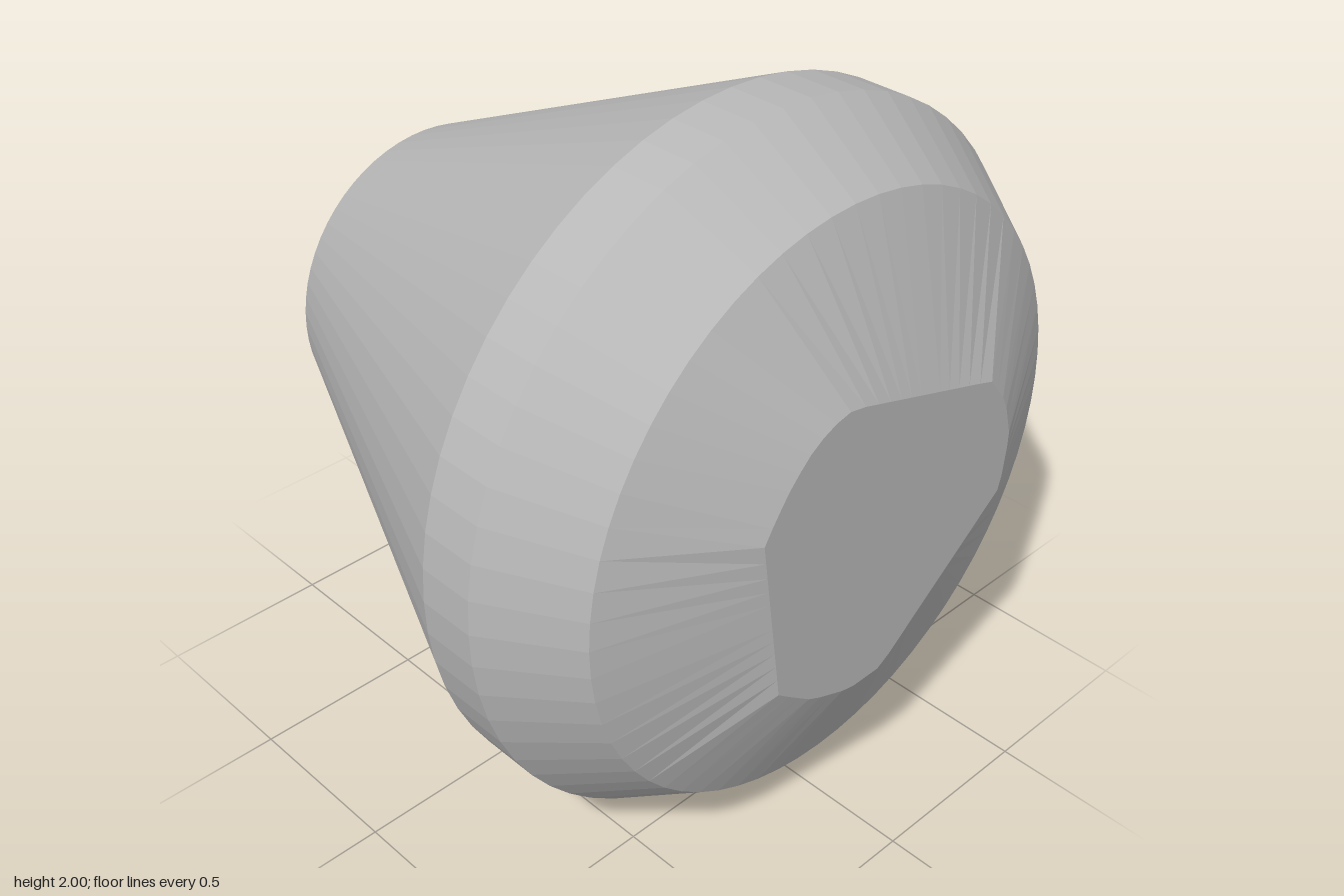
import * as THREE from 'three';

const SIDES = 64;
const grey = new THREE.MeshStandardMaterial({ color: 0xb8b8b8, flatShading: true });
grey.name = 'grey';

// Outline of the worn end face as [z, y], running counter-clockwise about +x
const OUTLINE = [
  [0.17, 0.44], [0.25, 0.42], [0.32, 0.37], [0.38, 0.3], [0.45, 0.19],
  [0.375, -0.31], [0.25, -0.4], [0.11, -0.45], [-0.01, -0.445],
  [-0.44, -0.08], [-0.455, 0.08], [-0.42, 0.2], [-0.35, 0.29],
];

// Distance from the axis to the outline in the direction (z, y) = (s, c)
function outlineRadius(s, c) {
  for (let i = 0; i < OUTLINE.length; i++) {
    const [az, ay] = OUTLINE[i];
    const [bz, by] = OUTLINE[(i + 1) % OUTLINE.length];
    const dz = bz - az, dy = by - ay;
    const det = s * dy - c * dz;
    if (Math.abs(det) < 1e-9) continue;
    const r = (az * dy - ay * dz) / det;
    const t = (az * c - ay * s) / det;
    if (r > 0 && t >= -1e-6 && t <= 1 + 1e-6) return r;
  }
  return 0.45;
}

// The end face leans slightly, so its x depends on z
const faceX = (z) => 0.895 - 0.024 * z;

function buildMesh(name, positions) {
  const geometry = new THREE.BufferGeometry();
  geometry.setAttribute('position', new THREE.Float32BufferAttribute(positions, 3));
  geometry.computeVertexNormals();
  const mesh = new THREE.Mesh(geometry, grey);
  mesh.name = name;
  return mesh;
}

export function createModel() {
  const model = new THREE.Group();
  model.name = 'taperedPlug';

  // Turned body: closed small end, cone, narrow band and chamfer
  const profile = [[0, -0.908], [0.47, -0.908], [1, 0.315], [1, 0.48], [0.84, 0.715]];
  const bodyGeometry = new THREE.LatheGeometry(
    profile.map(([r, x]) => new THREE.Vector2(r, x)), SIDES);
  bodyGeometry.rotateZ(-Math.PI / 2);
  const body = new THREE.Mesh(bodyGeometry, grey);
  body.name = 'taperedBody';
  body.position.y = 1;
  model.add(body);

  // Bevel from the round rim to the irregular outline, and the end face itself
  const bevel = [], face = [];
  const ring = (i) => {
    const a = (i / SIDES) * Math.PI * 2;
    const s = Math.sin(a), c = Math.cos(a), r = outlineRadius(s, c);
    return {
      outer: [0.715, 1 + 0.84 * c, 0.84 * s],
      inner: [faceX(r * s), 1 + r * c, r * s],
    };
  };
  for (let i = 0; i < SIDES; i++) {
    const p = ring(i), q = ring(i + 1);
    bevel.push(...p.inner, ...p.outer, ...q.outer, ...p.inner, ...q.outer, ...q.inner);
    face.push(faceX(0), 1, 0, ...p.inner, ...q.inner);
  }
  model.add(buildMesh('unevenBevel', bevel), buildMesh('endFace', face));

  return model;
}
